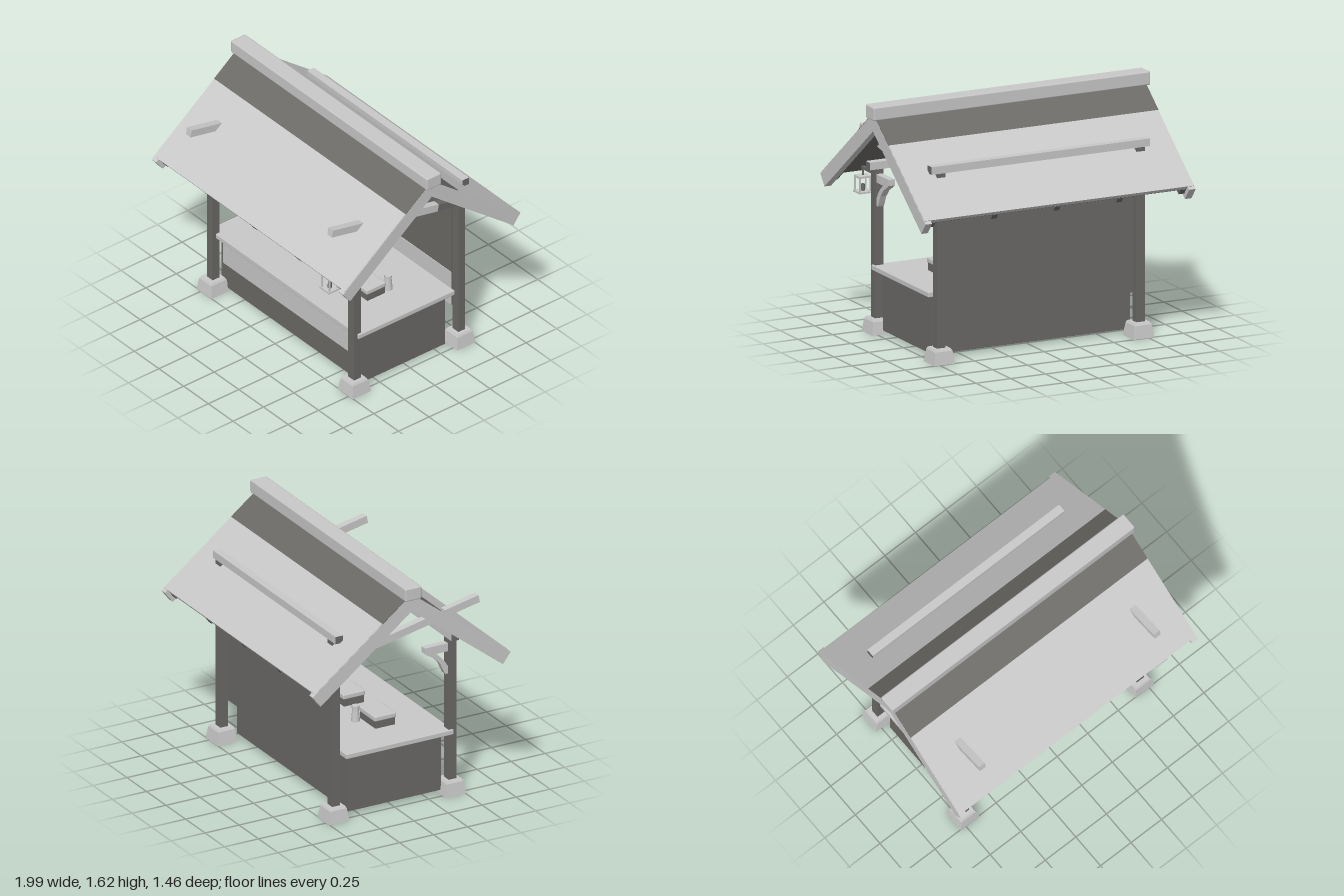
import * as THREE from 'three';
import { RoundedBoxGeometry } from 'three/addons/geometries/RoundedBoxGeometry.js';

export function createModel() {
  const root = new THREE.Group();
  const light = new THREE.MeshStandardMaterial({ color: 0xc8c8c8 });
  const dark = new THREE.MeshStandardMaterial({ color: 0x6b6966 });
  light.name = 'paleGrey';
  dark.name = 'darkGrey';

  function add(name, geometry, material, parent = root) {
    const mesh = new THREE.Mesh(geometry, material);
    mesh.name = name;
    parent.add(mesh);
    return mesh;
  }

  // Box given by its lower and upper limits
  function box(name, material, x0, x1, y0, y1, z0, z1, parent) {
    const g = new THREE.BoxGeometry(x1 - x0, y1 - y0, z1 - z0);
    g.translate((x0 + x1) / 2, (y0 + y1) / 2, (z0 + z1) / 2);
    return add(name, g, material, parent);
  }

  // Side outline of [z, y] points, extruded along x
  function prism(name, material, points, x0, x1) {
    const shape = new THREE.Shape(points.map(([z, y]) => new THREE.Vector2(-z, y)));
    const g = new THREE.ExtrudeGeometry(shape, { depth: x1 - x0, bevelEnabled: false });
    g.rotateY(Math.PI / 2).translate(x0, 0, 0);
    return add(name, g, material);
  }

  // Roof layer: s picks the slope, off is its depth below the roof surface
  const APEX = 1.577, SLOPE = 0.775;
  const COS = 1 / Math.hypot(1, SLOPE), SIN = SLOPE * COS;
  function slab(name, material, s, x0, x1, z0, z1, off, depth) {
    const at = (z, d) => [s * z, APEX - SLOPE * z - d / COS];
    const a = off, b = off + depth;
    prism(name, material, [
      at(z0, a), at(z1 - a * SIN, a), at(z1 - b * SIN, b), at(z0, b),
    ], x0, x1);
  }

  // Roof slopes
  for (const s of [1, -1]) {
    slab('upperRoofBand', dark, s, -0.97, 0.97, 0, 0.215, 0, 0.026);
    slab('roofPanel', light, s, -0.968, 0.968, 0.215, 0.71, 0, 0.026);
    slab('roofLining', dark, s, -0.93, 0.93, 0, 0.708, 0.026, 0.006);
    for (const x of [-0.9, -0.45, 0, 0.45, 0.9])
      slab('rafter', dark, s, x - 0.02, x + 0.02, 0, 0.71, 0.032, 0.04);
    for (const x of [-0.947, 0.947])
      slab('bargeBoard', light, s, x - 0.0235, x + 0.0235, 0, 0.73, 0.004, 0.094);
  }
  const ridge = add('ridgeBeam', new RoundedBoxGeometry(1.99, 0.09, 0.12, 1, 0.01), light);
  ridge.position.y = 1.58;

  // Long beams with dark end grain
  const endGrain = [dark, dark, light, light, light, light];
  box('backBeam', endGrain, -0.785, 0.785, 1.25, 1.3, -0.455, -0.4);
  box('frontBeam', endGrain, -0.785, 0.785, 1.08, 1.13, 0.4, 0.455);

  for (const s of [-1, 1]) {
    const x = 0.716 * s;
    for (const z of [0.428, -0.428]) {
      // Post and tapered stone footing
      box('post', dark, x - 0.03, x + 0.03, 0.08, z > 0 ? 1.08 : 1.25, z - 0.028, z + 0.028);
      const foot = new THREE.CylinderGeometry(0.062 * Math.SQRT2, 0.075 * Math.SQRT2, 0.085, 4, 1);
      foot.rotateY(Math.PI / 4).translate(x, 0.0425, z * 1.003);
      add('footing', foot.toNonIndexed(), light).geometry.computeVertexNormals();
      const cap = new THREE.CylinderGeometry(0.054 * Math.SQRT2, 0.062 * Math.SQRT2, 0.015, 4, 1);
      cap.rotateY(Math.PI / 4).translate(x, 0.0925, z * 1.003);
      add('footingTop', cap.toNonIndexed(), light).geometry.computeVertexNormals();
    }

    // Sloping tie beam that pierces the front roof slope
    const line = (z) => 1.183 + 0.206 * z;
    const tie = (material, z0, z1) => prism('tieBeam', material, [
      [z0 - 0.005, line(z0) + 0.025], [z1 - 0.005, line(z1) + 0.025],
      [z1 + 0.005, line(z1) - 0.025], [z0 + 0.005, line(z0) - 0.025],
    ], x - 0.024, x + 0.024);
    tie(light, -0.24, 0.628);
    tie(dark, -0.515, -0.24);

    // Curved bracket behind the front post
    prism('bracket', light, [
      [0.4, 1.05], [0.23, 1.05], [0.23, 1.01], [0.245, 0.998], [0.3, 0.965],
      [0.345, 0.915], [0.37, 0.86], [0.38, 0.84], [0.4, 0.84],
      [0.4, 0.89], [0.375, 0.93], [0.345, 0.965], [0.31, 0.995], [0.4, 0.995],
    ], x - 0.022, x + 0.022);
  }

  // Back wall with a pale strip inside
  box('backWall', dark, -0.69, 0.69, 0.285, 1.2, -0.405, -0.39);
  box('wallStrip', light, -0.688, 0.688, 0.287, 0.54, -0.39, -0.386);

  // Counter
  box('counterBody', dark, -0.71, 0.71, 0.025, 0.416, -0.32, 0.365);
  box('counterFront', light, -0.69, 0.69, 0.2, 0.414, 0.365, 0.37);
  const top = add('counterTop', new RoundedBoxGeometry(1.52, 0.034, 0.79, 1, 0.005), light);
  top.position.set(0, 0.432, 0.035);

  // Lidded boxes and flasks on the counter
  for (const x of [-0.4, 0, 0.4]) {
    box('goodsBox', dark, x - 0.1, x + 0.1, 0.448, 0.505, 0.003, 0.147);
    const lid = add('goodsLid', new RoundedBoxGeometry(0.21, 0.035, 0.16, 1, 0.008), light);
    lid.position.set(x, 0.515, 0.075);
    const flask = add('flask', new THREE.CylinderGeometry(0.021, 0.029, 0.09, 10), light);
    flask.position.set(x + 0.075, 0.494, -0.043);
    const rim = add('flaskRim', new THREE.CylinderGeometry(0.025, 0.025, 0.018, 10), light);
    rim.position.set(x + 0.075, 0.547, -0.043);
  }

  // Hanging lantern on its arm
  const lantern = new THREE.Group();
  lantern.name = 'lantern';
  lantern.position.set(0.715, 0, 0.63);
  root.add(lantern);
  box('lanternArm', dark, -0.01, 0.01, 1.03, 1.05, -0.2, 0.01, lantern);
  box('lanternHanger', dark, -0.005, 0.005, 0.985, 1.035, -0.005, 0.005, lantern);
  box('lanternRoof', light, -0.045, 0.045, 0.975, 0.988, -0.04, 0.04, lantern);
  box('lanternBase', light, -0.048, 0.048, 0.875, 0.887, -0.045, 0.045, lantern);
  for (const sx of [-1, 1]) for (const sz of [-1, 1]) {
    const bar = add('lanternBar', new THREE.BoxGeometry(0.009, 0.09, 0.009), light, lantern);
    bar.position.set(0.038 * sx, 0.931, 0.034 * sz);
  }
  const candle = add('candle', new THREE.CylinderGeometry(0.012, 0.015, 0.045, 8), dark, lantern);
  candle.position.y = 0.909;

  return root;
}
